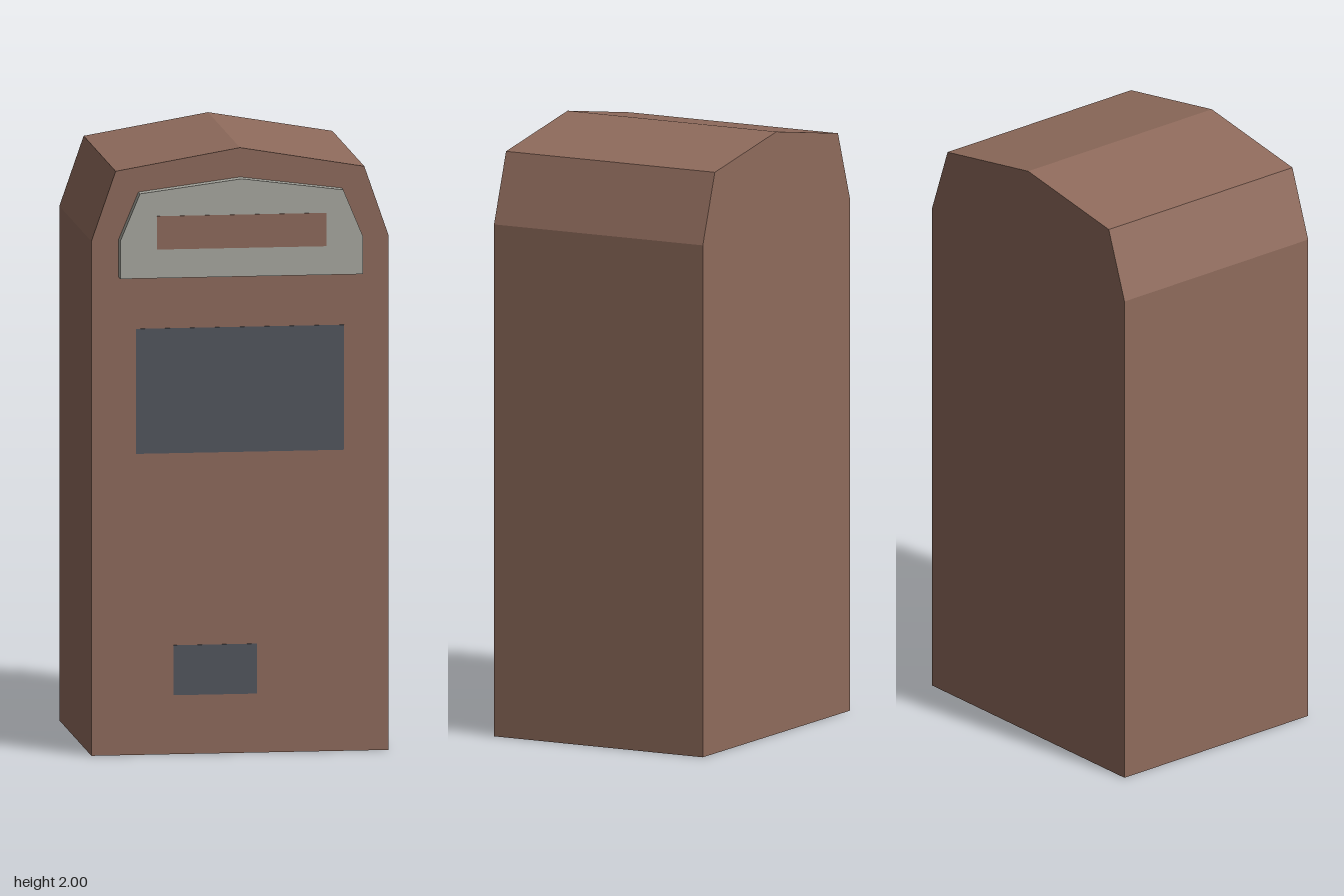
import * as THREE from 'three';

const paint = (name, color) => {
  const m = new THREE.MeshStandardMaterial({ color });
  m.name = name;
  return m;
};

// Extrudes a symmetric outline, given as its right half from bottom to peak, between two depths
function prism(name, half, zBack, zFront, material) {
  const mirrored = half.filter(([x]) => x > 0).reverse().map(([x, y]) => [-x, y]);
  const shape = new THREE.Shape([...half, ...mirrored].map(([x, y]) => new THREE.Vector2(x, y)));
  const geometry = new THREE.ExtrudeGeometry(shape, { depth: zFront - zBack, bevelEnabled: false });
  const mesh = new THREE.Mesh(geometry.translate(0, 0, zBack), material);
  mesh.name = name;
  return mesh;
}

// Thin painted plate lying on a front face at depth z
function plate(name, x0, x1, y0, y1, z, material) {
  const thickness = 0.002;
  const mesh = new THREE.Mesh(new THREE.BoxGeometry(x1 - x0, y1 - y0, thickness), material);
  mesh.position.set((x0 + x1) / 2, (y0 + y1) / 2, z + thickness / 2);
  mesh.name = name;
  return mesh;
}

export function createModel() {
  const brown = paint('brown', 0x8f6b5c);
  const grey = paint('light grey', 0xa8a8a0);
  const slate = paint('dark slate', 0x52565e);
  const back = -0.42, front = 0.363, faceFront = 0.404;

  const group = new THREE.Group();
  group.name = 'postBox';
  group.add(
    // Cabinet with a shallow gabled roof and chamfered shoulders
    prism('body', [[0.49, 0], [0.49, 1.7], [0.41, 1.93], [0, 2]], back, front, brown),
    // Raised plate with the posting slot
    prism('slotPlate', [[0.4, 1.58], [0.4, 1.705], [0.335, 1.86], [0, 1.903]], front, faceFront, grey),
    plate('slot', -0.28, 0.28, 1.675, 1.785, faceFront, brown),
    // Painted front panels
    plate('noticePanel', -0.343, 0.343, 0.995, 1.408, front, slate),
    plate('lowerPanel', -0.22, 0.055, 0.195, 0.36, front, slate)
  );
  return group;
}
